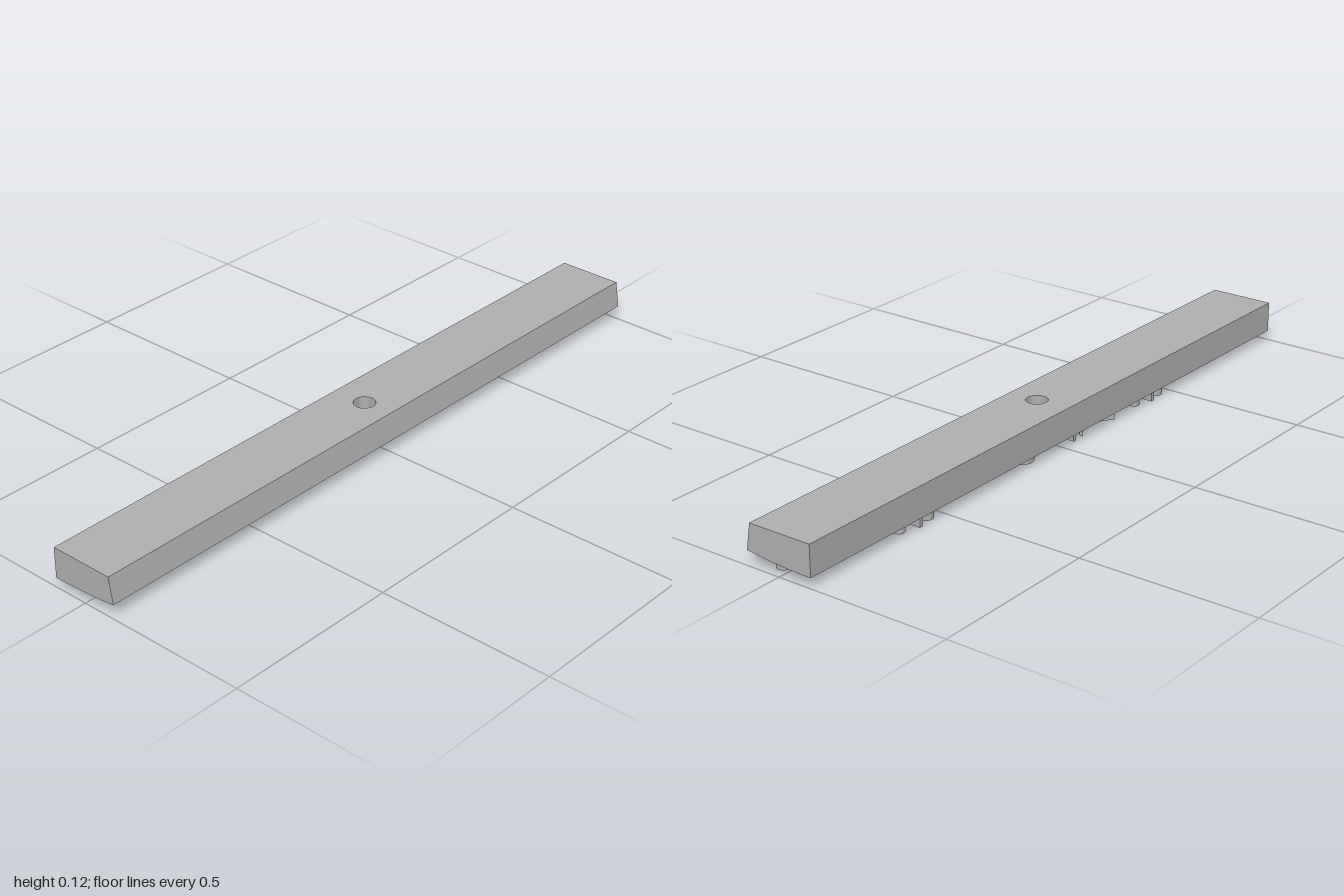
import * as THREE from 'three';
import { toCreasedNormals } from 'three/addons/utils/BufferGeometryUtils.js';

const TOP = 0.115, RELIEF = 0.028;
// Gently curved underside height across the bar's width
const under = (x) => 0.031 + 0.065 * x + 0.35 * x * x;

// Plan shapes, drawn as (x, -z)
function disc(x, z, r, inner = 0) {
  const s = new THREE.Shape();
  s.absarc(x, -z, r, 0, Math.PI * 2, false);
  if (inner) {
    const h = new THREE.Path();
    h.absarc(x, -z, inner, 0, Math.PI * 2, true);
    s.holes.push(h);
  }
  return s;
}

function rect(x0, x1, z0, z1) {
  return new THREE.Shape([[x0, -z1], [x1, -z1], [x1, -z0], [x0, -z0]]
    .map(([x, y]) => new THREE.Vector2(x, y)));
}

// Curved strip bulging towards +x between two z ends
function bow(xEnd, xMid, z0, z1, t) {
  const n = 14, outer = [], inner = [];
  for (let i = 0; i <= n; i++) {
    const k = i / n, x = xEnd + (xMid - xEnd) * (1 - (2 * k - 1) ** 2);
    const y = -z1 + (z1 - z0) * k;
    outer.push(new THREE.Vector2(x + t / 2, y));
    inner.unshift(new THREE.Vector2(x - t / 2, y));
  }
  return new THREE.Shape([...outer, ...inner]);
}

// Extrude a plan shape upwards, then place its low and high points by a rule
function upright(shape, rule) {
  const g = new THREE.ExtrudeGeometry(shape, { depth: 1, bevelEnabled: false, curveSegments: 20 });
  g.rotateX(-Math.PI / 2);
  const p = g.attributes.position;
  for (let i = 0; i < p.count; i++) {
    const [x, y] = rule(p.getX(i), p.getY(i) > 0.5);
    p.setXY(i, x, y);
  }
  g.computeVertexNormals();
  return toCreasedNormals(g, 0.6);
}

export function createModel() {
  const model = new THREE.Group();
  const grey = new THREE.MeshStandardMaterial({ color: 0xb0b0b0 });
  grey.name = 'grey';

  const add = (name, geometry, parent = model) => {
    const mesh = new THREE.Mesh(geometry, grey);
    mesh.name = name;
    parent.add(mesh);
    return mesh;
  };

  // Long bar ends: one profile, extruded on both sides of the hole block
  const half = 0.04;
  const profile = [new THREE.Vector2(0.088, TOP), new THREE.Vector2(-0.1, TOP)];
  for (let i = 0; i <= 12; i++) {
    const x = -0.1 + i / 60;
    profile.push(new THREE.Vector2(x, under(x)));
  }
  for (const z of [-1, half]) {
    const g = new THREE.ExtrudeGeometry(new THREE.Shape(profile), { depth: 1 - half, bevelEnabled: false });
    g.translate(0, 0, z);
    add(z < 0 ? 'backBar' : 'frontBar', toCreasedNormals(g, 0.4));
  }

  // Middle block with the round through hole
  const plan = rect(-0.1, 0.1, -half, half);
  const hole = new THREE.Path();
  hole.absarc(0, 0, 0.03, 0, Math.PI * 2, true);
  plan.holes.push(hole);
  add('middleBlock', upright(plan, (x, high) => high ? [Math.min(x, 0.088), TOP] : [x, under(x)]));

  // Raised relief on the underside
  const relief = new THREE.Group();
  relief.name = 'undersideRelief';
  model.add(relief);
  const raise = (name, shape) =>
    add(name, upright(shape, (x, high) => [x, under(x) + (high ? 0.003 : -RELIEF)]), relief);

  // Pair of small pegs at the front
  raise('smallPeg', rect(-0.022, 0, 0.9, 0.92));
  raise('smallPeg', rect(0.014, 0.026, 0.9, 0.92));

  // Straight cross ridges
  raise('longRidge', rect(-0.062, 0.063, 0.669, 0.681));
  raise('shortRidge', rect(-0.036, 0.038, -0.331, -0.319));

  // Two matching clusters of round lugs
  for (const z of [0, -1]) {
    raise('clusterRing', disc(-0.032, z + 0.385, 0.027, 0.014));
    raise('clusterLug', disc(-0.066, z + 0.454, 0.022));
    raise('clusterLug', disc(-0.066, z + 0.354, 0.016));
    raise('clusterStem', rect(-0.094, -0.062, z + 0.4, z + 0.412));
  }

  // Bowed ridge
  raise('bowedRidge', bow(-0.08, -0.048, 0.09, 0.235, 0.012));

  // Round lug with a tail beside the hole
  raise('roundLug', disc(-0.046, 0.038, 0.017));
  raise('lugTail', rect(-0.085, -0.05, 0.048, 0.06));

  // Single ring
  raise('ring', disc(-0.045, -0.128, 0.034, 0.02));

  // Lug and tail at the back
  raise('backLug', disc(0.022, -0.962, 0.017));
  raise('backTail', rect(-0.022, 0.015, -0.955, -0.942));

  return model;
}
